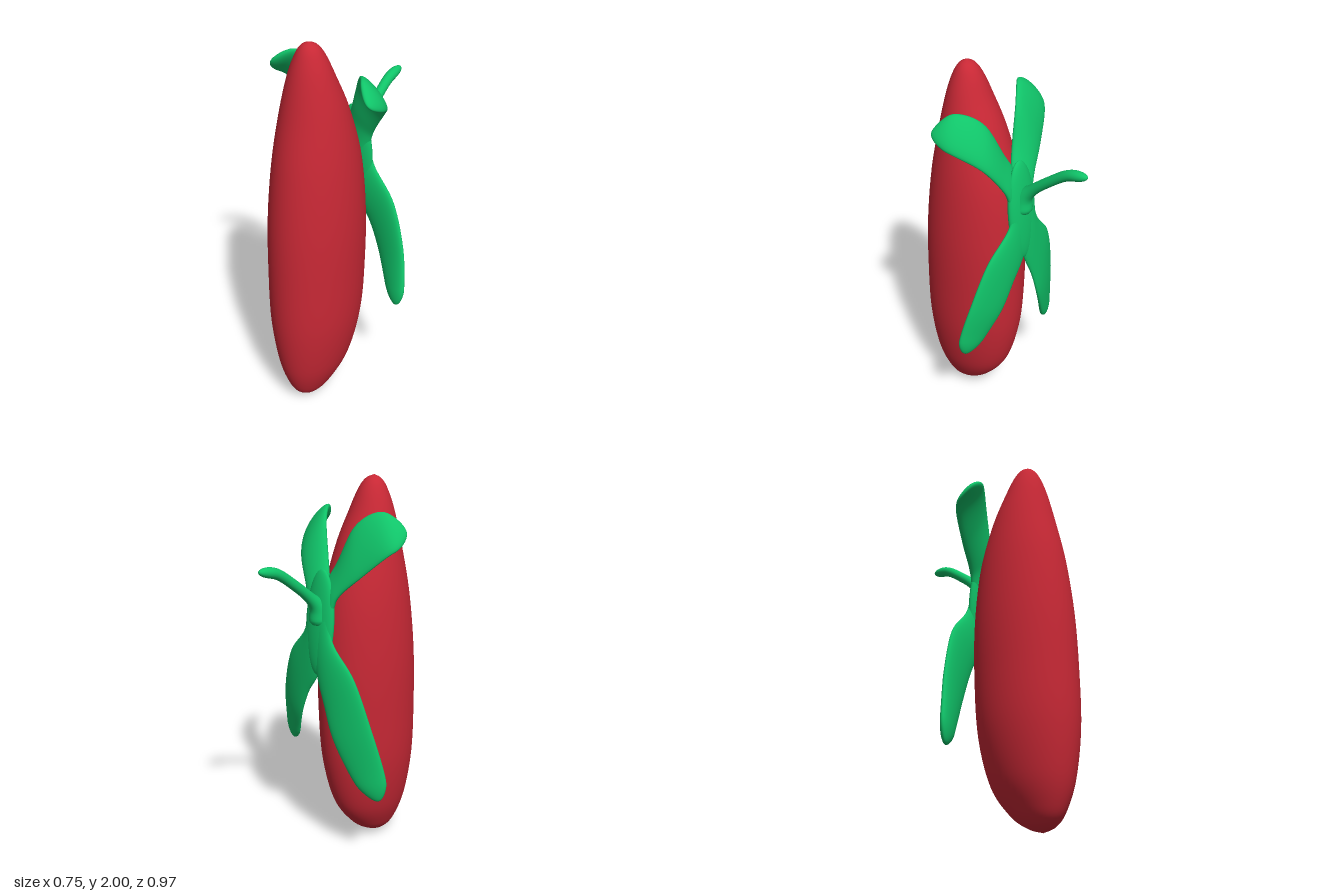
import * as THREE from 'three';

const V = (a) => new THREE.Vector3(...a);
const curve = (pts) => new THREE.CatmullRomCurve3(pts.map(V), false, 'catmullrom', 0.5);

// Joins closed rings of equal length into one smooth skin
function loft(rings) {
  const n = rings[0].length, index = [];
  for (let i = 0; i < rings.length - 1; i++) {
    for (let j = 0; j < n; j++) {
      const k = (j + 1) % n, a = i * n, b = a + n;
      index.push(a + j, a + k, b + k, a + j, b + k, b + j);
    }
  }
  const geo = new THREE.BufferGeometry().setFromPoints(rings.flat());
  geo.setIndex(index);
  geo.computeVertexNormals();
  return geo;
}

// Oval-section blade between two edge curves, rounded off at both ends.
// Without a thickness the section is round.
function blade(inner, outer, thickness) {
  const A = curve(inner), B = curve(outer), steps = 56, sides = 28, rings = [];
  const mid = (t) => A.getPoint(t).lerp(B.getPoint(t), 0.5);
  const roundAt = 1 - 0.8 / (inner.length - 1);
  for (let i = 0; i <= steps; i++) {
    const t = Math.sin((i / steps) * Math.PI / 2);
    const u = Math.max(0, (t - roundAt) / (1 - roundAt));
    const v = Math.max(0, 1 - t / 0.08);
    const w = Math.sqrt(Math.max(0, 1 - u * u)) * Math.sqrt(1 - v * v);
    const c = mid(t);
    const T = mid(Math.min(1, t + 0.01)).sub(mid(Math.max(0, t - 0.01))).normalize();
    const W = B.getPoint(t).sub(A.getPoint(t)).multiplyScalar(0.5);
    const half = W.length();
    const N = T.clone().cross(W).normalize();
    const th = (thickness ?? half) * w;
    const ring = [];
    for (let j = 0; j < sides; j++) {
      const a = (j / sides) * Math.PI * 2;
      ring.push(c.clone().addScaledVector(W, Math.cos(a) * w).addScaledVector(N, Math.sin(a) * th));
    }
    rings.push(ring);
  }
  return loft(rings);
}

// Fruit: [y, back z, front z, half width]
function fruitGeometry() {
  const rows = [
    [0, 0.29, 0.29, 0], [0.03, 0.21, 0.36, 0.055], [0.1, 0.115, 0.41, 0.105],
    [0.25, 0.01, 0.455, 0.165], [0.5, -0.055, 0.482, 0.21], [0.8, -0.077, 0.48, 0.223],
    [1.1, -0.077, 0.465, 0.222], [1.4, -0.045, 0.428, 0.2], [1.65, 0.03, 0.375, 0.16],
    [1.83, 0.11, 0.333, 0.112], [1.93, 0.155, 0.3, 0.073], [1.98, 0.192, 0.27, 0.04],
    [2, 0.235, 0.235, 0],
  ];
  const depth = curve(rows.map(([y, b, f]) => [b, y, f]));
  const width = curve(rows.map(([y, , , w]) => [w, y, 0]));
  const rings = [];
  for (let i = 0; i <= 96; i++) {
    const d = depth.getPoint(i / 96), rx = Math.max(0, width.getPoint(i / 96).x);
    const cz = (d.x + d.z) / 2, rz = Math.max(0, (d.z - d.x) / 2), ring = [];
    for (let j = 0; j < 56; j++) {
      const a = (j / 56) * Math.PI * 2;
      ring.push(new THREE.Vector3(-0.015 + rx * Math.sin(a), d.y, cz + rz * Math.cos(a)));
    }
    rings.push(ring);
  }
  return loft(rings);
}

export function createModel() {
  const model = new THREE.Group();
  model.name = 'fruitWithLeaves';
  const red = new THREE.MeshStandardMaterial({ color: 0xc82835 });
  const green = new THREE.MeshStandardMaterial({ color: 0x10c469 });
  const add = (name, geo, mat) => {
    const mesh = new THREE.Mesh(geo, mat);
    mesh.name = name;
    model.add(mesh);
    return mesh;
  };

  add('fruit', fruitGeometry(), red);

  // Leaves: inner edge and outer edge, from the hub to the tip
  const leaves = {
    upperLeftLeaf: [
      [[-0.06, 1.28, -0.1], [-0.01, 1.5, -0.055], [0.04, 1.62, -0.02], [0.11, 1.78, 0.03], [0.19, 1.835, 0.12], [0.25, 1.79, 0.21]],
      [[0.06, 1.22, -0.115], [0.085, 1.38, -0.11], [0.12, 1.47, -0.095], [0.21, 1.6, -0.045], [0.29, 1.68, 0.06], [0.32, 1.71, 0.18]],
    ],
    upperRightLeaf: [
      [[0.06, 1.28, -0.1], [0.01, 1.5, -0.055], [-0.04, 1.62, -0.02], [-0.11, 1.79, 0.015], [-0.2, 1.865, 0.08], [-0.3, 1.84, 0.15]],
      [[-0.06, 1.22, -0.115], [-0.085, 1.39, -0.11], [-0.12, 1.47, -0.095], [-0.22, 1.57, -0.05], [-0.34, 1.69, 0.02], [-0.38, 1.73, 0.11]],
    ],
    lowerLeftLeaf: [
      [[-0.07, 1.36, -0.115], [-0.01, 1.07, -0.125], [0.08, 0.92, -0.125], [0.15, 0.78, -0.11], [0.22, 0.65, -0.07], [0.28, 0.54, -0.03]],
      [[0.07, 1.42, -0.115], [0.1, 1.26, -0.12], [0.24, 1.1, -0.095], [0.33, 0.88, -0.06], [0.37, 0.69, -0.02], [0.375, 0.56, 0]],
    ],
    lowerRightLeaf: [
      [[0.07, 1.36, -0.115], [0.01, 1.07, -0.13], [-0.06, 0.89, -0.14], [-0.12, 0.72, -0.135], [-0.21, 0.53, -0.095], [-0.29, 0.4, -0.05]],
      [[-0.07, 1.42, -0.115], [-0.1, 1.24, -0.125], [-0.23, 1.07, -0.1], [-0.315, 0.82, -0.06], [-0.37, 0.58, -0.015], [-0.385, 0.43, 0]],
    ],
  };
  for (const [name, [inner, outer]] of Object.entries(leaves)) {
    add(name, blade(inner, outer, 0.026), green);
  }

  // Hub where the leaves and the stem meet
  const hub = add('hub', new THREE.SphereGeometry(1, 40, 28), green);
  hub.scale.set(0.095, 0.27, 0.036);
  hub.position.set(0, 1.31, -0.112);
  hub.rotation.x = 0.08;

  // Stem: [y, z, radius], flared at the hub
  const stem = [[1.3, -0.11, 0.06], [1.39, -0.125, 0.045], [1.455, -0.18, 0.028], [1.54, -0.28, 0.025], [1.61, -0.38, 0.026], [1.638, -0.485, 0.029]];
  const side = (s) => stem.map(([y, z, r]) => [s * r, y, z]);
  add('stem', blade(side(-1), side(1)), green);

  return model;
}
